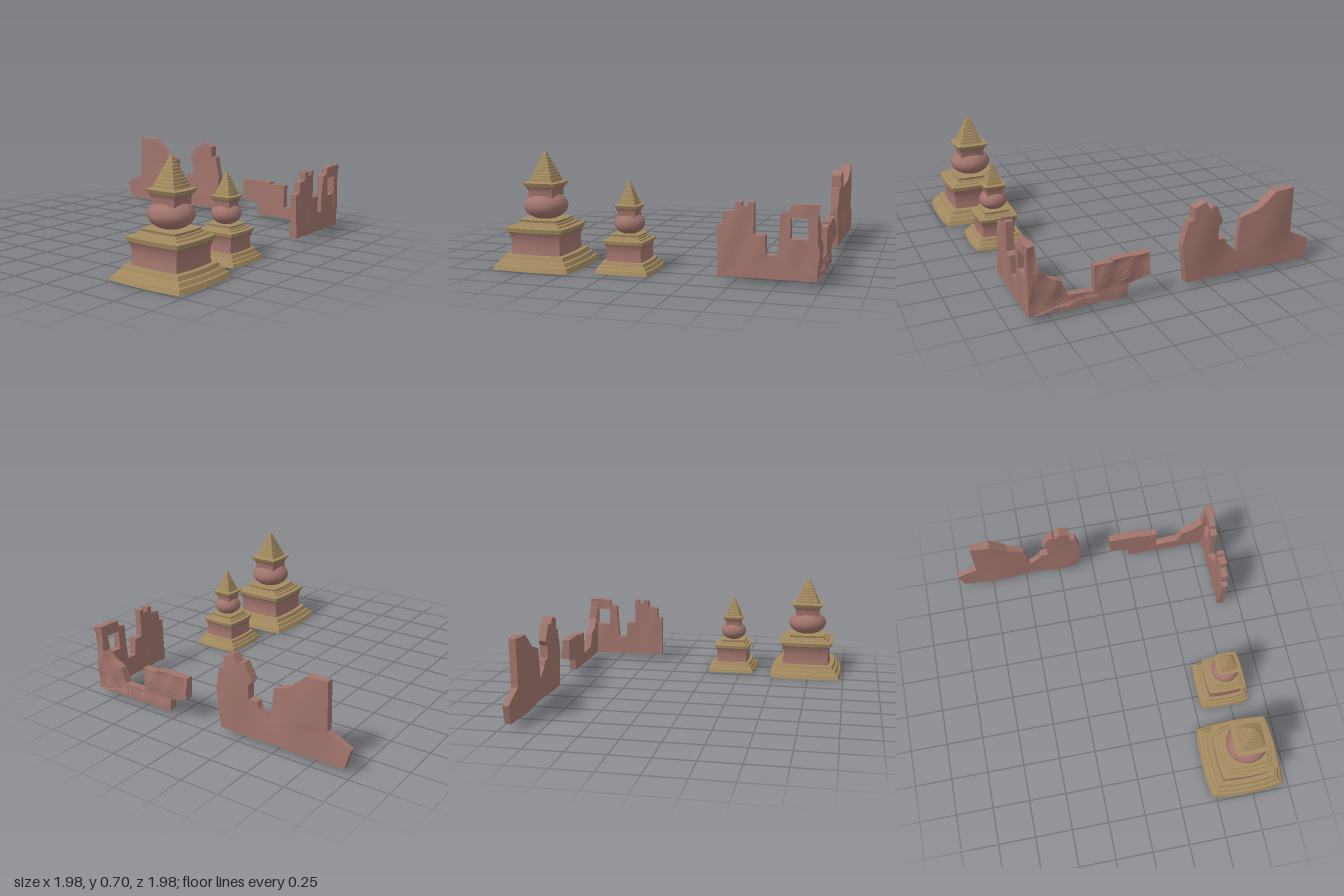
import * as THREE from 'three';
import { toCreasedNormals } from 'three/addons/utils/BufferGeometryUtils.js';

const clay = new THREE.MeshStandardMaterial({ color: 0xa0746c });
const gold = new THREE.MeshStandardMaterial({ color: 0xa38a60 });

function toMesh(positions, material, name, crease) {
  let geo = new THREE.BufferGeometry();
  geo.setAttribute('position', new THREE.Float32BufferAttribute(positions, 3));
  geo = toCreasedNormals(geo, crease);
  const mesh = new THREE.Mesh(geo, material);
  mesh.name = name;
  return mesh;
}

// Loft of square rings with gently bowed sides; profile is [halfWidth, y] from bottom to top
function squareLoft(profile, material, name) {
  const seg = 6, ring = [];
  for (let s = 0; s < 4; s++) {
    for (let i = 0; i < seg; i++) {
      const t = -1 + (2 * i) / seg;
      const out = 1 - 0.07 * t * t, along = t * 0.93;
      const c = [1, 0, -1, 0][s], n = [0, 1, 0, -1][s];
      ring.push([c * out - n * along, n * out + c * along]);
    }
  }
  const pts = [[0, profile[0][1]], ...profile, [0, profile[profile.length - 1][1]]];
  const at = ([r, y], j) => {
    const p = ring[j % ring.length];
    return [p[0] * r, y, p[1] * r];
  };
  const pos = [];
  for (let i = 0; i < pts.length - 1; i++) {
    for (let j = 0; j < ring.length; j++) {
      const a = at(pts[i], j), b = at(pts[i], j + 1);
      const c = at(pts[i + 1], j + 1), d = at(pts[i + 1], j);
      if (pts[i][0] > 0) pos.push(...a, ...d, ...b);
      if (pts[i + 1][0] > 0) pos.push(...b, ...d, ...c);
    }
  }
  return toMesh(pos, material, name, 0.4);
}

function makeShrine(name) {
  const g = new THREE.Group();
  g.name = name;
  g.add(squareLoft([[0.265, 0], [0.26, 0.012], [0.253, 0.03], [0.24, 0.034], [0.228, 0.056],
    [0.214, 0.06], [0.205, 0.085], [0.17, 0.087]], gold, 'steppedBase'));
  g.add(squareLoft([[0.176, 0.085], [0.17, 0.12], [0.17, 0.17], [0.178, 0.205],
    [0.188, 0.222]], clay, 'body'));
  g.add(squareLoft([[0.17, 0.218], [0.19, 0.222], [0.195, 0.248], [0.165, 0.252], [0.16, 0.262],
    [0.142, 0.264], [0.137, 0.275], [0.128, 0.277], [0.132, 0.292]], gold, 'cornice'));
  // Round dome, slightly flattened
  const dome = new THREE.Mesh(new THREE.SphereGeometry(0.135, 32, 20), clay);
  dome.name = 'dome';
  dome.scale.y = 0.64;
  dome.position.y = 0.37;
  g.add(dome);
  g.add(squareLoft([[0.075, 0.36], [0.085, 0.435], [0.085, 0.46], [0.092, 0.482],
    [0.1, 0.492]], clay, 'neck'));
  // Eaves and tiered spire
  g.add(squareLoft([[0.09, 0.486], [0.102, 0.49], [0.113, 0.514], [0.085, 0.517],
    [0.078, 0.528]], gold, 'eaves'));
  const spire = [];
  const tiers = 9;
  for (let i = 0; i < tiers; i++) {
    const r = (t) => 0.072 * Math.pow(1 - t, 0.95) + 0.008;
    const t0 = i / tiers, t1 = (i + 1) / tiers;
    spire.push([r(t0), 0.525 + 0.165 * t0], [r(t0) - 0.003, 0.525 + 0.165 * (t1 - 0.02)]);
  }
  spire.push([0.005, 0.7]);
  g.add(squareLoft(spire, gold, 'spire'));
  return g;
}

// Split every triangle into four, several times
function subdivide(pos, times) {
  for (let n = 0; n < times; n++) {
    const out = [];
    for (let i = 0; i < pos.length; i += 9) {
      const [a, b, c] = [0, 3, 6].map((k) => pos.slice(i + k, i + k + 3));
      const mid = (p, q) => p.map((v, k) => (v + q[k]) / 2);
      const ab = mid(a, b), bc = mid(b, c), ca = mid(c, a);
      out.push(...a, ...ab, ...ca, ...ab, ...b, ...bc, ...ca, ...bc, ...c, ...ab, ...bc, ...ca);
    }
    pos = out;
  }
  return pos;
}

// Ruined wall: extruded outline whose two faces are shifted by bulge(x, y, isFront)
function makeWall(name, outline, holes, z0, z1, bulge) {
  const v = (list) => list.map(([x, y]) => new THREE.Vector2(x, y));
  const shape = new THREE.Shape(v(outline));
  holes.forEach((h) => shape.holes.push(new THREE.Path(v(h))));
  let geo = new THREE.ExtrudeGeometry(shape, { depth: z1 - z0, bevelEnabled: false });
  if (geo.index) geo = geo.toNonIndexed();
  const pos = subdivide(Array.from(geo.attributes.position.array), 3);
  for (let i = 0; i < pos.length; i += 3) {
    const [x, y] = [pos[i], pos[i + 1]];
    const k = pos[i + 2] / (z1 - z0);
    pos[i + 2] += z0 + (1 - k) * bulge(x, y, false) + k * bulge(x, y, true);
  }
  return toMesh(pos, clay, name, 0.6);
}

export function createModel() {
  const model = new THREE.Group();

  // Two shrines, one behind the other
  const large = makeShrine('largeShrine');
  large.position.set(0.72, 0, 0.727);
  const small = makeShrine('smallShrine');
  small.position.set(0.72, 0, 0.177);
  small.scale.set(0.68, 0.77, 0.68);
  model.add(large, small);

  // Free-standing ruin
  model.add(makeWall('leftRuinWall', [
    [-0.955, 0.033], [-0.11, 0.037], [-0.08, 0.285], [-0.115, 0.434], [-0.15, 0.434],
    [-0.15, 0.51], [-0.22, 0.54], [-0.257, 0.487], [-0.268, 0.503], [-0.295, 0.503],
    [-0.35, 0.4], [-0.32, 0.365], [-0.32, 0.28], [-0.373, 0.275], [-0.385, 0.24],
    [-0.458, 0.175], [-0.484, 0.386], [-0.59, 0.425], [-0.71, 0.527], [-0.844, 0.53],
    [-0.844, 0.228], [-0.99, 0.155],
  ], [], -0.97, -0.92, (x, y, front) => {
    const wave = Math.cos((x + 0.7) * 13);
    const low = Math.cos(y * 9);
    return front ? 0.009 * wave * (0.6 + 0.4 * low) : -0.018 * wave * (0.5 - 0.4 * low);
  }));

  // Corner ruin: low back wall and tall side wall with a window
  const corner = new THREE.Group();
  corner.name = 'cornerRuin';
  corner.add(makeWall('backRuinWall', [
    [0.28, 0.037], [0.88, 0.037], [0.88, 0.465], [0.835, 0.465], [0.815, 0.31], [0.755, 0.25],
    [0.68, 0.22], [0.645, 0.125], [0.485, 0.115], [0.485, 0.275], [0.37, 0.275], [0.37, 0.29],
    [0.135, 0.29], [0.14, 0.152], [0.27, 0.116],
  ], [], -0.977, -0.93, (x, y, front) =>
    front ? 0 : -0.014 * Math.max(0, Math.sin(x * 42 - 7) * Math.sin(y * 22 + 0.6))));
  const side = makeWall('sideRuinWall', [
    [0.41, 0.037], [0.98, 0.037], [0.975, 0.465], [0.904, 0.465], [0.824, 0.455], [0.82, 0.42],
    [0.77, 0.41], [0.754, 0.17], [0.69, 0.17], [0.685, 0.283], [0.62, 0.283], [0.62, 0.465],
    [0.588, 0.465], [0.588, 0.44], [0.55, 0.44], [0.55, 0.465], [0.513, 0.465], [0.513, 0.415],
    [0.445, 0.405], [0.44, 0.335], [0.405, 0.33],
  ], [[[0.826, 0.268], [0.826, 0.388], [0.925, 0.388], [0.925, 0.268]]],
  0.835, 0.88, (x, y, front) => (front ? 0.007 : -0.005) * Math.sin(x * 34 + 1) * Math.cos(y * 12));
  side.rotation.y = Math.PI / 2;
  corner.add(side);
  model.add(corner);
  return model;
}
